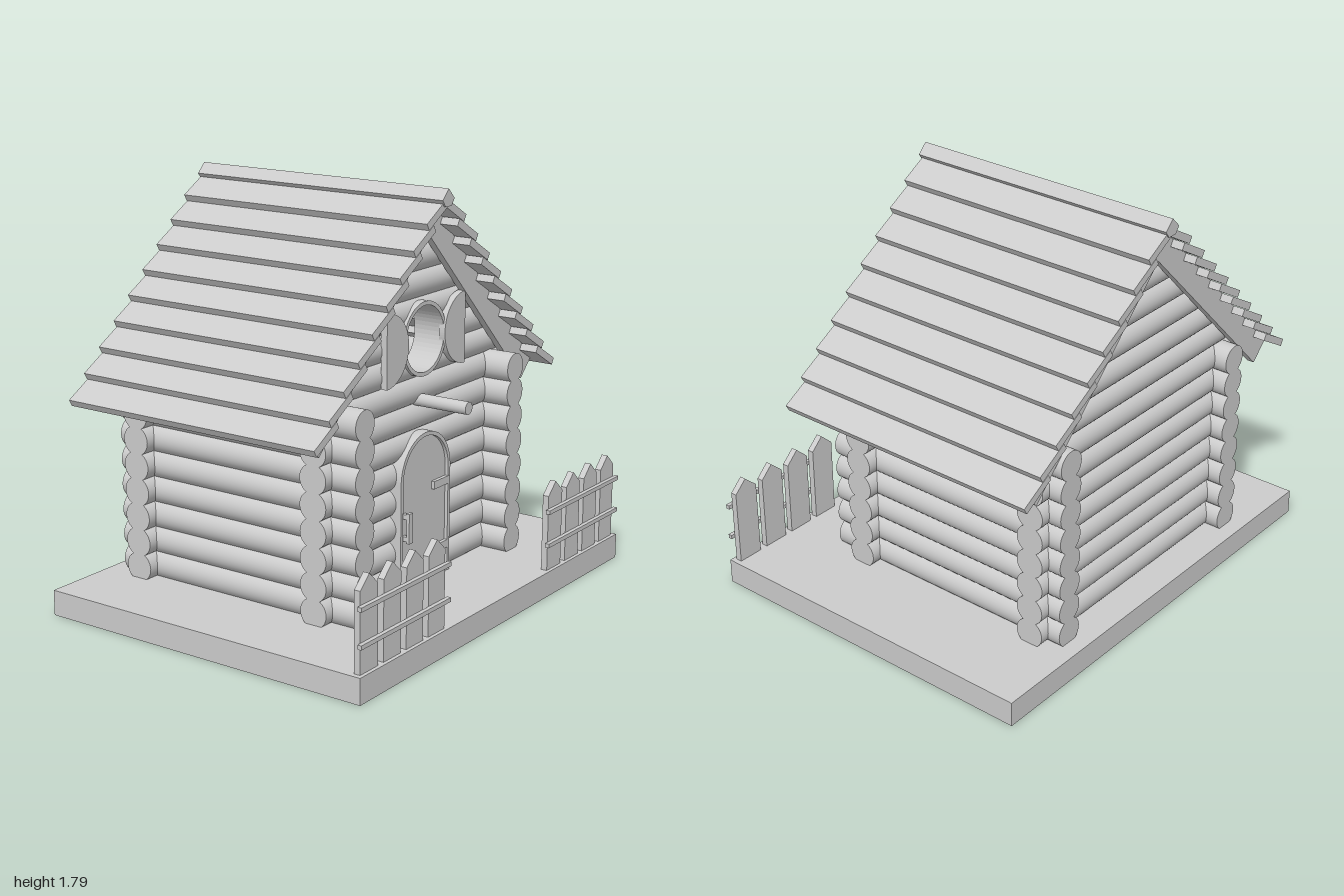
import * as THREE from 'three';

const CX = -0.013;            // centre line of the house
const FRONT = 0.327, BACK = -0.59; // axes of the front and back wall logs
const R = 0.064, STEP = 0.111, Y0 = 0.16; // log radius, row spacing, first row
const WIN_Y = 1.16;
const material = new THREE.MeshStandardMaterial({ color: 0xcccccc });

function add(parent, name, geometry, x = 0, y = 0, z = 0) {
  const mesh = new THREE.Mesh(geometry, material);
  mesh.name = name;
  mesh.position.set(x, y, z);
  parent.add(mesh);
  return mesh;
}

function box(parent, name, w, h, d, x, y, z) {
  return add(parent, name, new THREE.BoxGeometry(w, h, d), x, y, z);
}

function group(parent, name, x = 0) {
  const g = new THREE.Group();
  g.name = name;
  g.position.x = x;
  parent.add(g);
  return g;
}

// Plate with an outline in x, y, running from z0 to z1
function plate(shape, z0, z1) {
  return new THREE.ExtrudeGeometry(shape, { depth: z1 - z0, bevelEnabled: false, curveSegments: 24 }).translate(0, 0, z0);
}

function polygon(points) {
  return new THREE.Shape(points.map(([x, y]) => new THREE.Vector2(x, y)));
}

function arch(halfWidth, springY, bottomY) {
  const s = new THREE.Shape();
  s.moveTo(-halfWidth, bottomY);
  s.lineTo(halfWidth, bottomY);
  s.lineTo(halfWidth, springY);
  s.absarc(0, springY, halfWidth, 0, Math.PI, false);
  s.closePath();
  return s;
}

// Half of a gable log: its ends follow the roof slope and the window opening
function gableLog(side, y, holeRadius) {
  const geo = new THREE.CylinderGeometry(R, R, 1, 32).rotateZ(-Math.PI / 2);
  const p = geo.attributes.position;
  for (let i = 0; i < p.count; i++) {
    const wy = y + p.getY(i), dy = wy - WIN_Y;
    const outer = Math.max(0, 1.68 - wy);
    const inner = Math.sqrt(Math.max(0, holeRadius ** 2 - dy * dy));
    p.setX(i, side * (p.getX(i) * side > 0 ? outer : Math.min(inner, outer)));
  }
  return geo;
}

function buildWalls(house) {
  const walls = group(house, 'logWalls');
  const acrossLog = new THREE.CylinderGeometry(R, R, 1.335, 32).rotateZ(Math.PI / 2);
  const alongLog = new THREE.CylinderGeometry(R, R, 1.212, 32).rotateX(Math.PI / 2);
  for (let i = 0; i < 8; i++) {
    const y = Y0 + i * STEP;
    add(walls, 'frontLog', acrossLog, 0, y, FRONT);
    add(walls, 'backLog', acrossLog, 0, y, BACK);
    for (const s of [-1, 1]) add(walls, 'sideLog', alongLog, s * 0.561, y, -0.104);
  }
  for (let i = 8; i < 14; i++) {
    const y = Y0 + i * STEP;
    for (const s of [-1, 1]) {
      add(walls, 'frontGableLog', gableLog(s, y, 0.148), 0, y, FRONT);
      add(walls, 'backGableLog', gableLog(s, y, 0), 0, y, BACK);
    }
  }
}

function buildRoof(house) {
  const roof = group(house, 'roof');
  const c = Math.cos(Math.PI / 6), n = Math.sin(Math.PI / 6);
  const len = 0.165, t = 0.032;
  for (const s of [-1, 1]) {
    // overlapping boards, each flatter than the slope
    const board = plate(polygon([
      [0, 0], [-len * c, len * n], [-len * c - t * n, len * n - t * c], [-t * n, -t * c],
    ].map(([x, y]) => [s * x, y])), -0.745, 0.503);
    for (let i = 0; i < 9; i++) add(roof, 'roofBoard', board, s * (0.892 - i * 0.0935), 0.915 + i * 0.0935);
    // sloping trim in front of each gable
    const trim = polygon([[0, 1.745], [0, 1.59], [0.75, 0.84], [0.828, 0.917]].map(([x, y]) => [s * x, y]));
    add(roof, 'frontGableTrim', plate(trim, 0.388, 0.42));
    add(roof, 'backGableTrim', plate(trim, -0.69, -0.658));
  }
  const cap = polygon([[0, 1.787], [-0.043, 1.744], [-0.022, 1.715], [0.022, 1.715], [0.043, 1.744]]);
  add(roof, 'ridgeCap', plate(cap, -0.75, 0.51));
}

function buildWindow(house) {
  const win = group(house, 'roundWindow');
  const ring = new THREE.Shape().absarc(0, 0, 0.157, 0, Math.PI * 2, false);
  ring.holes.push(new THREE.Path().absarc(0, 0, 0.14, 0, Math.PI * 2, true));
  add(win, 'windowFrame', plate(ring, 0.26, 0.405), 0, WIN_Y);
  // half-round shutters, straight edge outward
  for (const s of [-1, 1]) {
    const a = s > 0 ? Math.PI / 2 : -Math.PI / 2;
    const half = new THREE.Shape().absarc(0, 0, 0.155, a, a + Math.PI, false);
    half.closePath();
    add(win, 'shutter', plate(half, 0.385, 0.415), s * 0.288, WIN_Y);
  }
}

function buildDoor(house) {
  const door = group(house, 'door', 0.003);
  const frame = arch(0.185, 0.58, 0.11);
  frame.holes.push(arch(0.168, 0.58, 0.111));
  add(door, 'doorFrame', plate(frame, 0.33, 0.415));
  add(door, 'doorPanel', plate(arch(0.17, 0.58, 0.11), 0.34, 0.4));
  for (const y of [0.517, 0.232]) box(door, 'hinge', 0.118, 0.034, 0.02, 0.122, y, 0.406);
  box(door, 'handleBar', 0.028, 0.13, 0.014, -0.142, 0.388, 0.43);
  for (const y of [0.34, 0.436]) box(door, 'handleMount', 0.02, 0.02, 0.035, -0.142, y, 0.41);
}

function buildFences(model) {
  const picket = plate(polygon([
    [-0.058, 0.11], [0.058, 0.11], [0.058, 0.443], [0, 0.497], [-0.058, 0.443],
  ]), 0.738, 0.766);
  for (const s of [-1, 1]) {
    const fence = group(model, s > 0 ? 'leftFence' : 'rightFence');
    for (let i = 0; i < 4; i++) add(fence, 'picket', picket, s * (0.92 - i * 0.153));
    for (const y of [0.378, 0.229]) box(fence, 'rail', 0.612, 0.018, 0.018, s * 0.69, y, 0.775);
  }
}

export function createModel() {
  const model = new THREE.Group();
  model.name = 'logBirdhouse';
  box(model, 'base', 2, 0.11, 1.564, 0, 0.055, 0);

  const house = group(model, 'house', CX);
  buildWalls(house);
  buildRoof(house);
  buildWindow(house);
  buildDoor(house);
  add(house, 'perch', new THREE.CylinderGeometry(0.027, 0.027, 0.29, 24).rotateX(Math.PI / 2), 0, 0.9, 0.475);

  buildFences(model);
  return model;
}
